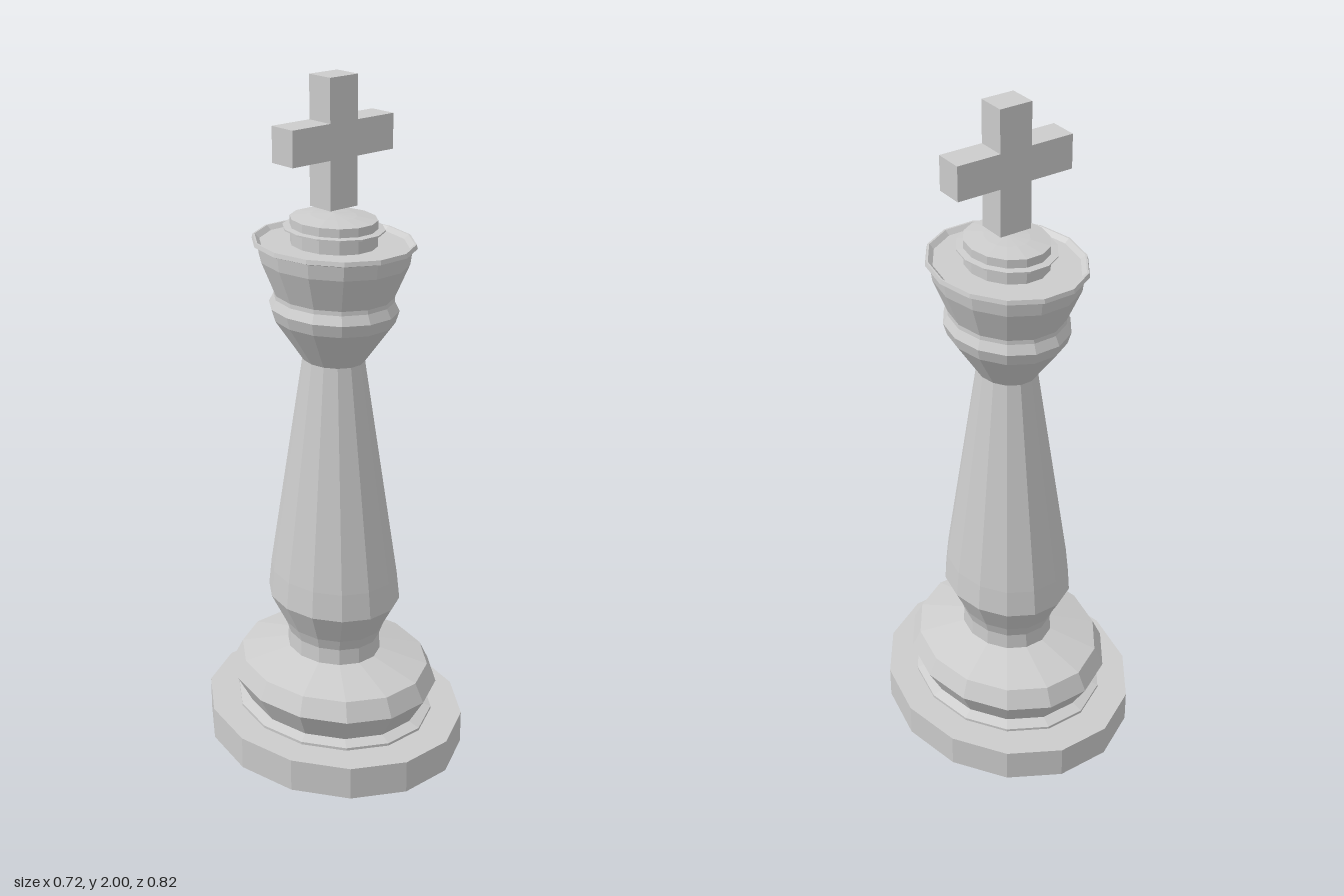
import * as THREE from 'three';

const SIDES = 14;
const DEPTH = 1.165; // the turned parts are oval, deeper than wide

export function createModel() {
  const group = new THREE.Group();
  const material = new THREE.MeshStandardMaterial({
    color: 0xcccccc, flatShading: true, side: THREE.DoubleSide,
  });

  const add = (name, geometry) => {
    const mesh = new THREE.Mesh(geometry, material);
    mesh.name = name;
    group.add(mesh);
  };

  // Turned part from [radius, height] pairs, bottom to top, with corners on the x axis
  const turned = (name, profile) => {
    const points = profile.map(([r, y]) => new THREE.Vector2(r, y));
    const geometry = new THREE.LatheGeometry(points, SIDES, Math.PI / 2);
    geometry.scale(1, 1, DEPTH);
    add(name, geometry);
  };

  turned('base', [[0, 0], [0.36, 0], [0.36, 0.1], [0, 0.1]]);

  turned('foot', [
    [0.275, 0.1], [0.275, 0.108], [0.245, 0.118], [0.287, 0.2], [0.262, 0.255], [0.13, 0.292],
  ]);

  turned('stem', [
    [0.13, 0.285], [0.127, 0.34], [0.138, 0.375], [0.182, 0.468], [0.174, 0.55], [0.082, 1.21],
  ]);

  // Flared head with a narrow band, a thin rim and a shallow recess on top
  turned('head', [
    [0.082, 1.205], [0.16, 1.325], [0.17, 1.36], [0.158, 1.386], [0.18, 1.395],
    [0.157, 1.398], [0.195, 1.495], [0.2, 1.535], [0.213, 1.54], [0.21, 1.552],
    [0.205, 1.552], [0.193, 1.54], [0, 1.54],
  ].filter((p) => p[0] !== 0.18));

  // Button with a thin disc around it
  turned('button', [[0.113, 1.54], [0.113, 1.612], [0.06, 1.62], [0, 1.625]]);
  turned('buttonDisc', [[0.11, 1.58], [0.132, 1.582], [0.132, 1.586], [0.11, 1.588]]);

  // Cross finial
  const [post, arm, low, armLow, armHigh, top, thick] = [0.049, 0.179, 1.645, 1.782, 1.88, 2, 0.084];
  const half = [[post, low], [post, armLow], [arm, armLow], [arm, armHigh], [post, armHigh], [post, top]];
  const outline = [...half, ...half.map(([x, y]) => [-x, y]).reverse()];
  const cross = new THREE.ExtrudeGeometry(
    new THREE.Shape(outline.map(([x, y]) => new THREE.Vector2(x, y))),
    { depth: thick, bevelEnabled: false },
  );
  cross.translate(0, 0, -thick / 2);
  add('cross', cross);

  return group;
}
